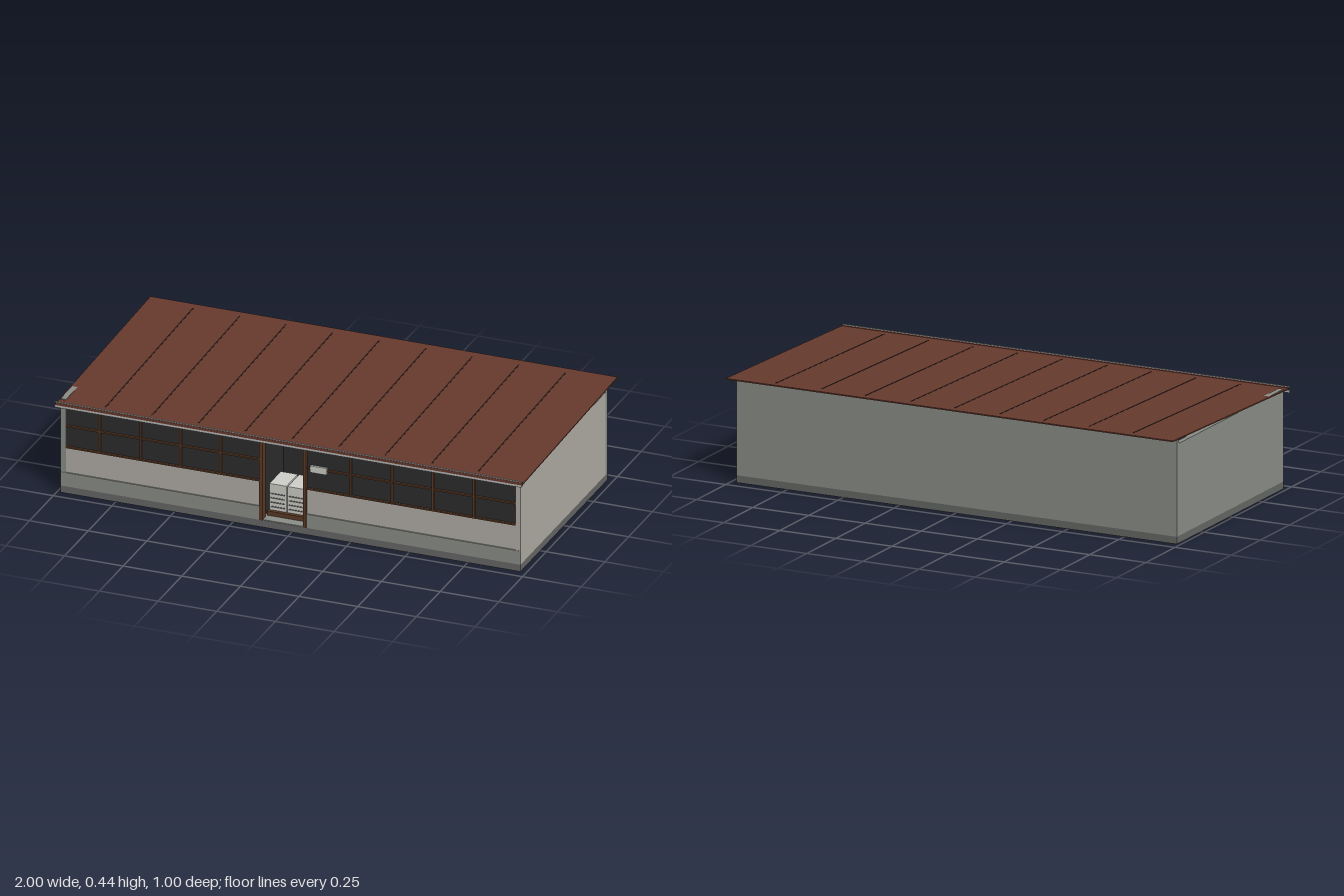
import * as THREE from 'three';

export function createModel() {
  const model = new THREE.Group();
  model.name = 'shopBuilding';

  const material = (name, color) => {
    const m = new THREE.MeshStandardMaterial({ color });
    m.name = name;
    return m;
  };
  const plaster = material('light plaster', 0xb3afa8);
  const concrete = material('grey concrete', 0x8b8e88);
  const plinthGrey = material('dark plinth grey', 0x666866);
  const roofRed = material('rust red roof', 0x673a2e);
  const seamBrown = material('dark seam brown', 0x2e1c18);
  const glass = material('dark glass', 0x2d2d2d);
  const timber = material('brown timber', 0x5c3a25);
  const white = material('off white', 0xd0d0ca);
  const trim = material('gutter grey', 0xb8bab8);

  // Box given by its minimum and maximum along each axis
  function box(name, mat, [x0, x1], [y0, y1], [z0, z1], parent = model) {
    const mesh = new THREE.Mesh(new THREE.BoxGeometry(x1 - x0, y1 - y0, z1 - z0), mat);
    mesh.position.set((x0 + x1) / 2, (y0 + y1) / 2, (z0 + z1) / 2);
    mesh.name = name;
    parent.add(mesh);
    return mesh;
  }

  // Base and outer walls, each wall with its own top height
  box('plinth', plinthGrey, [-0.985, 0.975], [0, 0.03], [-0.455, 0.46]);
  box('backWall', concrete, [-0.985, 0.975], [0.03, 0.425], [-0.455, -0.435]);
  box('rightEndWall', concrete, [-0.985, -0.963], [0.03, 0.4095], [-0.435, 0.459]);
  box('leftEndWall', plaster, [0.953, 0.975], [0.03, 0.39], [-0.435, 0.459]);

  // Dark shop interior behind the front
  box('interiorBack', glass, [-0.963, 0.953], [0.03, 0.393], [0.215, 0.222]);
  box('interiorCeiling', glass, [-0.963, 0.953], [0.393, 0.397], [0.215, 0.458]);
  box('shopFloor', concrete, [-0.963, 0.953], [0.03, 0.033], [0.222, 0.459]);

  // Front bays on either side of the doorway
  const bays = [
    { span: [-0.963, -0.135], bars: [-0.82, -0.645, -0.475, -0.305] },
    { span: [0.06, 0.953], bars: [0.25, 0.425, 0.6, 0.775] },
  ];
  for (const { span, bars } of bays) {
    const bay = new THREE.Group();
    bay.name = 'frontBay';
    model.add(bay);
    box('frontWall', plaster, span, [0.033, 0.2], [0.435, 0.455], bay);
    const skirt = span[0] < 0 ? [-0.985, span[1]] : [span[0], 0.975];
    box('frontSkirt', concrete, skirt, [0.03, 0.09], [0.44, 0.4605], bay);
    box('windowGlass', glass, span, [0.2, 0.387], [0.443, 0.45], bay);
    for (const y of [0.2, 0.292, 0.385]) {
      box('windowRail', timber, span, [y - 0.003, y + 0.003], [0.44, 0.46], bay);
    }
    for (const x of bars) {
      box('windowPost', timber, [x - 0.004, x + 0.004], [0.2, 0.387], [0.44, 0.461], bay);
    }
  }
  box('frontHeader', plaster, [-0.963, 0.953], [0.388, 0.396], [0.44, 0.459]);

  // Doorway
  for (const x of [-0.13, 0.056]) {
    box('doorPost', timber, [x - 0.007, x + 0.007], [0.03, 0.388], [0.43, 0.463]);
  }
  box('doorHeader', timber, [-0.13, 0.056], [0.381, 0.388], [0.435, 0.461]);
  box('doorwaySide', glass, [-0.137, -0.131], [0.033, 0.392], [0.222, 0.43]);
  box('doorwaySide', glass, [0.057, 0.063], [0.033, 0.392], [0.222, 0.43]);

  // Pair of display cabinets on a timber base
  box('cabinetBase', timber, [-0.123, 0.049], [0.033, 0.052], [0.27, 0.415]);
  for (const x of [-0.083, -0.005]) {
    const cabinet = new THREE.Group();
    cabinet.name = 'displayCabinet';
    model.add(cabinet);
    box('cabinetBody', white, [x - 0.036, x + 0.036], [0.052, 0.166], [0.28, 0.4], cabinet);
    for (let i = 0; i < 4; i++) {
      const y = 0.064 + i * 0.019;
      box('shelfGap', plinthGrey, [x - 0.031, x + 0.031], [y, y + 0.005], [0.396, 0.402], cabinet);
    }
  }

  // Small blank wall sign
  box('wallSign', white, [0.08, 0.15], [0.277, 0.306], [0.455, 0.464]);

  // Single-pitch roof with standing seams, low at the front
  const roof = new THREE.Group();
  roof.name = 'roof';
  roof.position.set(0, 0.4175, -0.0025);
  roof.rotation.x = Math.atan(0.031);
  model.add(roof);
  box('roofSheet', roofRed, [-0.99, 1], [-0.0025, 0.0025], [-0.4975, 0.4975], roof);
  for (let i = -4; i <= 4; i++) {
    const x = i * 0.1985;
    box('roofSeam', seamBrown, [x - 0.003, x + 0.003], [0, 0.0033], [-0.46, 0.46], roof);
  }

  // Gutter along the front eave
  box('gutterFace', trim, [-0.995, 0.995], [0.387, 0.397], [0.49, 0.498]);
  box('gutterLip', trim, [-0.995, 0.995], [0.409, 0.412], [0.493, 0.498]);
  box('eaveStrip', roofRed, [-0.99, 1], [0.397, 0.409], [0.493, 0.499]);

  return model;
}
